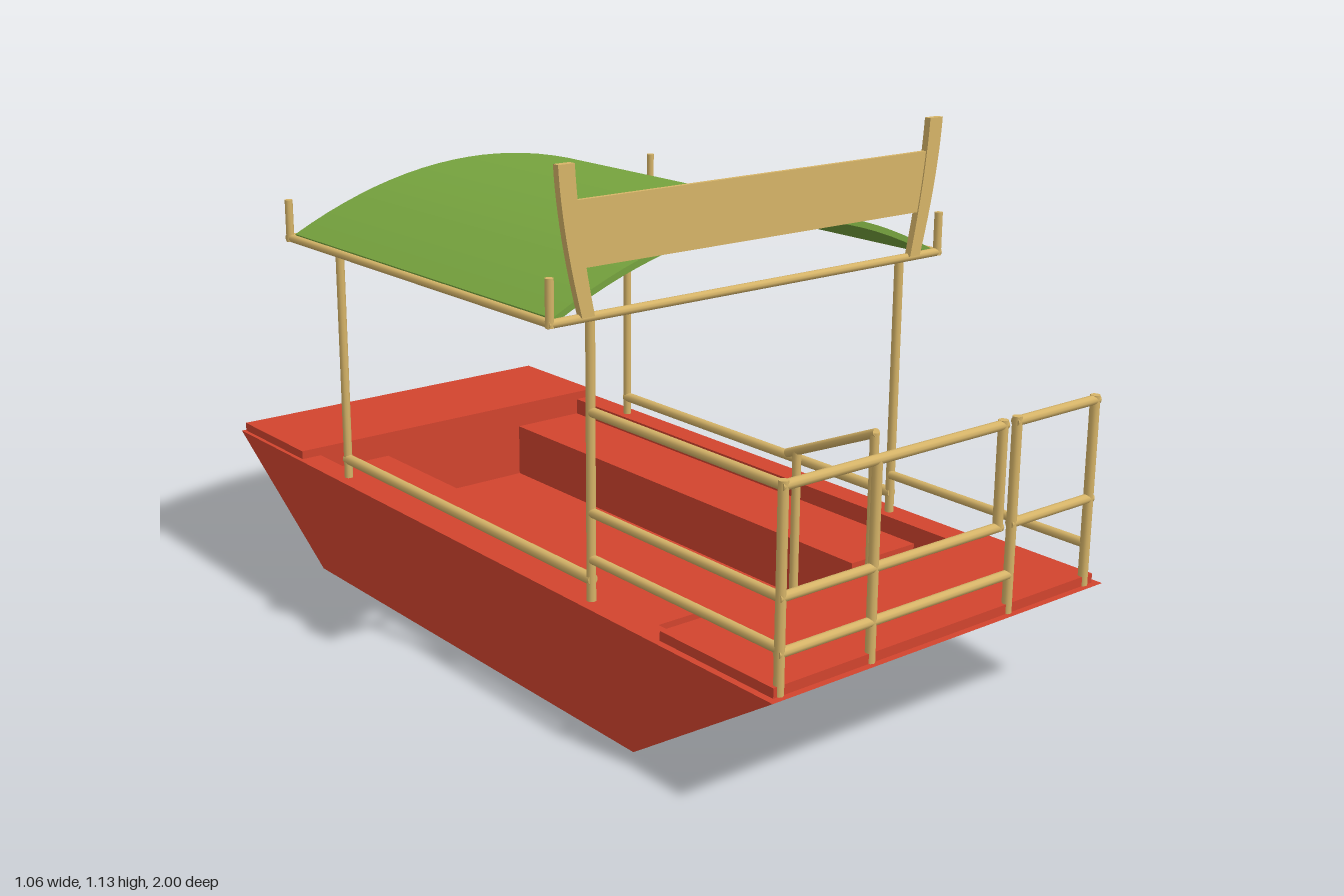
import * as THREE from 'three';

const red = new THREE.MeshStandardMaterial({ color: 0xd2442e });
red.name = 'red paint';
const wood = new THREE.MeshStandardMaterial({ color: 0xd6b468 });
wood.name = 'pale wood';
const green = new THREE.MeshStandardMaterial({ color: 0x76a33e });
green.name = 'green canvas';

export function createModel() {
  const root = new THREE.Group();
  root.name = 'canopyBoat';

  const add = (name, geometry, material) => {
    const mesh = new THREE.Mesh(geometry, material);
    mesh.name = name;
    root.add(mesh);
    return mesh;
  };
  // Box given by its min and max corners
  const box = (name, a, b, material) => {
    const g = new THREE.BoxGeometry(b[0] - a[0], b[1] - a[1], b[2] - a[2]);
    g.translate((a[0] + b[0]) / 2, (a[1] + b[1]) / 2, (a[2] + b[2]) / 2);
    return add(name, g, material);
  };
  // Round pole between two points
  const pole = (name, a, b, r = 0.01) => {
    const from = new THREE.Vector3(...a), to = new THREE.Vector3(...b);
    const dir = to.clone().sub(from);
    const mesh = add(name, new THREE.CylinderGeometry(r, r, dir.length(), 10), wood);
    mesh.position.copy(from).add(to).multiplyScalar(0.5);
    mesh.quaternion.setFromUnitVectors(new THREE.Vector3(0, 1, 0), dir.normalize());
    return mesh;
  };
  // Side profile (z, y) extruded across x
  const slab = (name, points, x0, x1) => {
    const shape = new THREE.Shape(points.map(p => new THREE.Vector2(...p)));
    const g = new THREE.ExtrudeGeometry(shape, { depth: x1 - x0, bevelEnabled: false });
    g.rotateY(-Math.PI / 2).translate(x1, 0, 0);
    add(name, g, red);
  };

  // Hull: hollow middle and solid gunwales
  const keel = [[-1, 0.25], [-0.6, 0], [0.61, 0], [1, 0.25]];
  slab('hullMiddle', [...keel, [0.67, 0.25], [0.67, 0.08], [-0.7, 0.08], [-0.7, 0.25]], -0.39, 0.39);
  slab('rightGunwale', keel, -0.45, -0.39);
  slab('leftGunwale', keel, 0.39, 0.45);

  // End decks
  box('foreDeck', [-0.435, 0.25, 0.67], [0.435, 0.27, 0.985], red);
  box('aftDeck', [-0.44, 0.25, -0.995], [0.44, 0.27, -0.7], red);

  for (const s of [-1, 1]) {
    // Bench along each side of the well
    const xs = [s * 0.2, s * 0.39].sort((a, b) => a - b);
    box('bench', [xs[0], 0.08, -0.7], [xs[1], 0.21, 0.54], red);

    // Canopy posts and low side rail
    for (const z of [0.435, -0.515]) pole('canopyPost', [s * 0.418, 0.25, z], [s * 0.418, 0.83, z]);
    pole('lowSideRail', [s * 0.418, 0.295, -0.52], [s * 0.418, 0.295, 0.44], 0.012);

    // Canopy frame sides with corner stubs
    pole('frameSide', [s * 0.52, 0.832, -0.555], [s * 0.52, 0.832, 0.45], 0.009);
    for (const z of [0.448, -0.552]) pole('cornerStub', [s * 0.522, 0.825, z], [s * 0.522, 0.92, z], 0.009);

    // Flared horns beside the front board
    const horn = new THREE.Shape();
    horn.moveTo(s * 0.425, 0.835);
    horn.lineTo(s * 0.455, 0.835);
    horn.quadraticCurveTo(s * 0.5, 1.0, s * 0.508, 1.13);
    horn.lineTo(s * 0.47, 1.13);
    horn.quadraticCurveTo(s * 0.462, 1.0, s * 0.425, 0.835);
    const hornGeometry = new THREE.ExtrudeGeometry(horn, { depth: 0.016, bevelEnabled: false });
    add('boardHorn', hornGeometry.translate(0, 0, 0.444), wood);
  }
  for (const z of [0.448, -0.555]) pole('frameEnd', [-0.528, 0.832, z], [0.528, 0.832, z], 0.009);

  // Front board, wider at its top
  const board = new THREE.Shape([
    new THREE.Vector2(-0.45, 0.93), new THREE.Vector2(0.45, 0.93),
    new THREE.Vector2(0.475, 1.06), new THREE.Vector2(-0.475, 1.06)]);
  add('frontBoard', new THREE.ExtrudeGeometry(board, { depth: 0.01, bevelEnabled: false })
    .translate(0, 0, 0.447), wood);

  // Arched canopy
  const arch = new THREE.Shape();
  const N = 24, half = 0.51;
  const rise = x => 0.84 + 0.13 * (1 - (x / half) ** 2);
  for (let i = 0; i <= N; i++) {
    const x = half - 2 * half * i / N;
    if (i) arch.lineTo(x, rise(x)); else arch.moveTo(x, rise(x));
  }
  for (let i = 0; i <= N; i++) {
    const x = -half + 2 * half * i / N;
    arch.lineTo(x, rise(x) - 0.014);
  }
  add('canopy', new THREE.ExtrudeGeometry(arch, { depth: 0.99, bevelEnabled: false })
    .translate(0, 0, -0.55), green);

  // Front railing with a gate gap
  const zf = 0.98;
  for (const x of [-0.418, -0.192, 0.182, 0.412]) {
    pole('railPost', [x, 0.25, zf], [x, x === -0.192 ? 0.64 : 0.65, zf]);
  }
  pole('railEnd', [0.142, 0.43, zf], [0.142, 0.65, zf]);
  for (const y of [0.64, 0.435]) {
    pole('frontRail', [-0.425, y, zf], [0.15, y, zf]);
    pole('gateRail', [0.175, y, zf], [0.42, y, zf]);
  }
  pole('lowFrontRail', [-0.425, 0.33, zf], [0.182, 0.33, zf]);

  // Side railings: three bars on one side, one low bar on the other
  for (const y of [0.64, 0.435, 0.338]) pole('sideRail', [-0.418, y, 0.44], [-0.418, y, zf]);
  pole('lowBoardingRail', [0.414, 0.338, 0.44], [0.414, 0.338, zf]);

  // Sloping handrail into the well
  pole('handrailPost', [0.182, 0.08, 0.61], [0.182, 0.525, 0.61]);
  pole('handrailPost', [0.182, 0.08, 0.38], [0.182, 0.425, 0.38]);
  pole('handrail', [0.182, 0.525, 0.615], [0.182, 0.413, 0.35]);

  return root;
}
